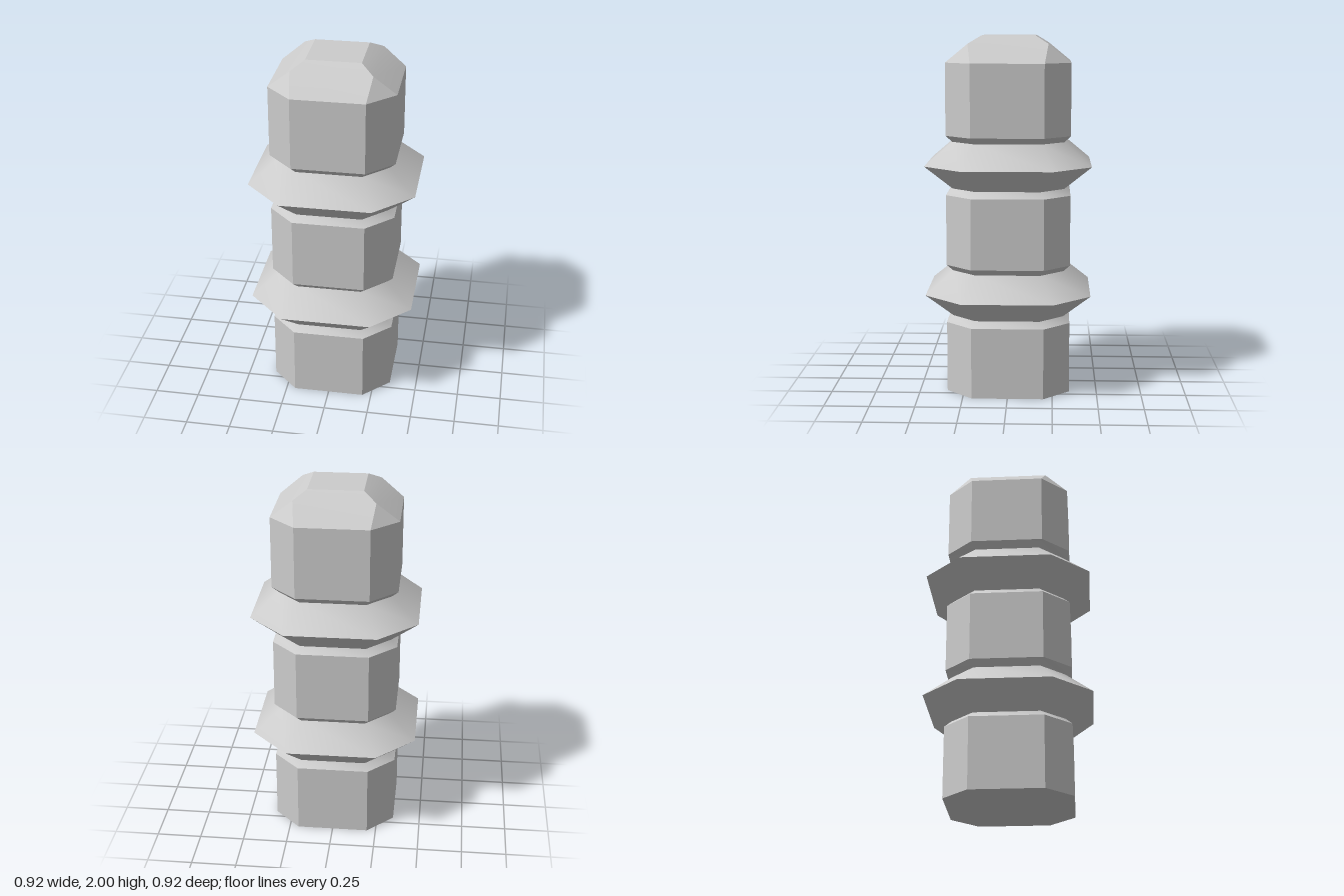
import * as THREE from 'three';
import { toCreasedNormals } from 'three/addons/utils/BufferGeometryUtils.js';

// Chamfered square: a = half width, b = half length of each flat side
function octagon([y, a, b]) {
  return [[a, b], [b, a], [-b, a], [-a, b], [-a, -b], [-b, -a], [b, -a], [a, -b]]
    .map(([x, z]) => new THREE.Vector3(x, y, z));
}

// Skins a stack of sections [y, a, b], optionally closing either end
function loft(sections, crease, closeBottom = false, closeTop = false) {
  const rings = sections.map(octagon);
  const points = [];
  const tri = (p, q, r) => {
    if (new THREE.Triangle(p, q, r).getArea() > 1e-6) points.push(p, q, r);
  };
  for (let k = 0; k < rings.length - 1; k++) {
    const lo = rings[k], hi = rings[k + 1];
    for (let i = 0; i < 8; i++) {
      const j = (i + 1) % 8;
      tri(lo[i], hi[i], hi[j]);
      tri(lo[i], hi[j], lo[j]);
    }
  }
  const bottom = rings[0], top = rings[rings.length - 1];
  for (let i = 1; i < 7; i++) {
    if (closeBottom) tri(bottom[0], bottom[i], bottom[i + 1]);
    if (closeTop) tri(top[0], top[i + 1], top[i]);
  }
  return toCreasedNormals(new THREE.BufferGeometry().setFromPoints(points), crease);
}

export function createModel() {
  const group = new THREE.Group();
  const material = new THREE.MeshStandardMaterial({ color: 0xcccccc });
  const add = (name, geometry) => {
    const mesh = new THREE.Mesh(geometry, material);
    mesh.name = name;
    group.add(mesh);
  };

  const W = 0.345, F = 0.2; // block half width and half flat
  const GW = 0.31, GF = 0.18; // groove half width and half flat
  const pitch = 0.725;

  // Three stacked blocks, chamfered where they meet the grooves
  ['lowerBlock', 'middleBlock', 'upperBlock'].forEach((name, i) => {
    const y = i * pitch;
    const sections = [[y + 0.005 * (i > 0), W, F], [y + 0.4, W, F]];
    if (i > 0) {
      sections[0][0] = y + 0.005;
      sections.unshift([y - 0.03, GW, GF]);
    }
    if (i < 2) sections.push([y + 0.4, W, F], [y + 0.435, GW, GF]);
    else sections[sections.length - 1][0] = 1.855;
    add(name, loft(sections, 0.6, i === 0));
  });

  // Flared collars between the blocks
  ['lowerCollar', 'upperCollar'].forEach((name, i) => {
    const y = i * pitch;
    add(name, loft([[y + 0.435, GW, GF], [y + 0.565, 0.46, 0.25], [y + 0.695, GW, GF]], 0.6));
  });

  // Faceted cap with triangular corner facets
  add('cap', loft([[1.855, W, F], [1.957, 0.22, 0.22], [2, 0.15, 0.15]], 0.3, false, true));

  return group;
}
